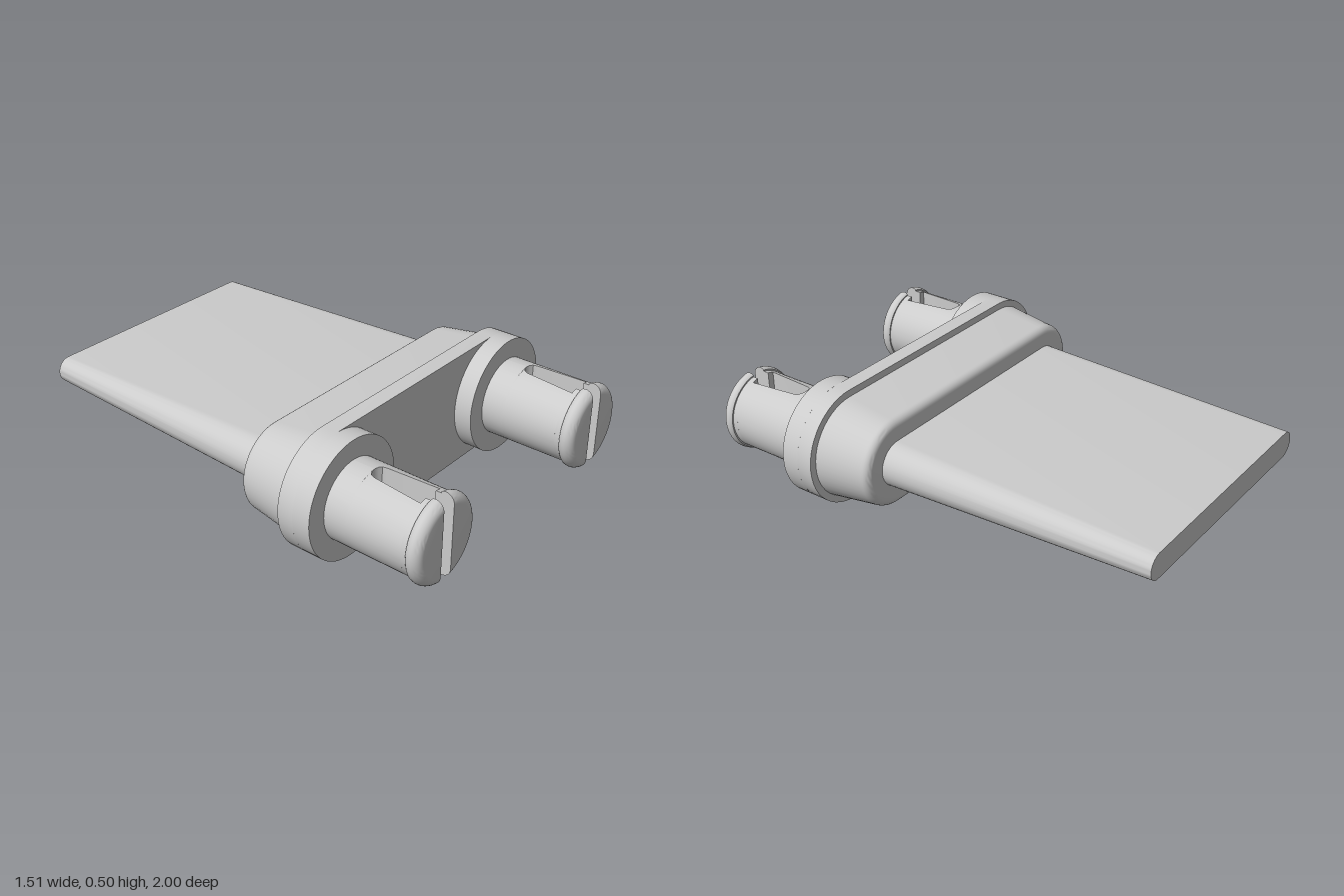
import * as THREE from 'three';
import { toCreasedNormals } from 'three/addons/utils/BufferGeometryUtils.js';

const MID_Y = 0.25;   // height of the centre line
const SPAN = 0.506;   // distance of the pins and end arcs from the middle

// Skin a series of convex cross-sections (counter-clockwise, z increasing) and cap both ends.
function loft(sections) {
  const n = sections[0].points.length, last = sections.length - 1;
  const pos = [], index = [];
  for (const { z, points } of sections) for (const [x, y] of points) pos.push(x, y, z);
  for (let i = 0; i < last; i++) {
    for (let j = 0; j < n; j++) {
      const a = i * n + j, b = i * n + (j + 1) % n;
      index.push(a, b, b + n, a, b + n, a + n);
    }
  }
  for (let j = 1; j < n - 1; j++) {
    index.push(0, j + 1, j);
    index.push(last * n, last * n + j, last * n + j + 1);
  }
  const geo = new THREE.BufferGeometry();
  geo.setAttribute('position', new THREE.Float32BufferAttribute(pos, 3));
  geo.setIndex(index);
  return toCreasedNormals(geo, 0.55);
}

// Points on an arc about (cx, 0).
function arc(cx, r, from, to, steps) {
  return Array.from({ length: steps + 1 }, (_, i) => {
    const t = from + (to - from) * i / steps;
    return [cx + r * Math.cos(t), r * Math.sin(t)];
  });
}

// Long slot outline with semicircular ends.
const stadium = (z, r) => ({
  z,
  points: [
    ...arc(SPAN, r, -Math.PI / 2, Math.PI / 2, 24),
    ...arc(-SPAN, r, Math.PI / 2, Math.PI * 1.5, 24),
  ],
});

// Half disc cut off at x = cut.
function halfDisc(z, r, cut) {
  const a = Math.acos(cut / r);
  return { z, points: arc(0, r, -a, a, 32) };
}

export function createModel() {
  const group = new THREE.Group();
  const material = new THREE.MeshStandardMaterial({ color: 0xcccccc });
  const add = (name, geo, parent = group) => {
    const mesh = new THREE.Mesh(geo, material);
    mesh.name = name;
    parent.add(mesh);
    return mesh;
  };

  // Tapering flat blade
  add('blade', loft([stadium(-1, 0.057), stadium(0.21, 0.099)])).position.y = MID_Y;

  // Drafted collar with a rounded rear edge
  const collar = [];
  for (let i = 0; i <= 6; i++) {
    const t = i / 6 * Math.PI / 2;
    collar.push(stadium(0.222 - 0.032 * Math.cos(t), 0.159 + 0.032 * Math.sin(t)));
  }
  collar.push(stadium(0.43, 0.22));
  add('collar', loft(collar)).position.y = MID_Y;

  // Flange plate
  add('flange', loft([stadium(0.43, 0.25), stadium(0.5, 0.25)])).position.y = MID_Y;

  // One prong of a split pin: shaft, slot with rounded root, and snap head
  const R = 0.167;
  const prong = [
    [0.56, R, 0], [0.675, R, 0], [0.677, R, 0.018], [0.685, R, 0.032], [0.7, R, 0.039],
    [0.92, R, 0.058], [0.92, R, 0.03], [0.945, R, 0.03], [0.945, 0.173, 0.03], [0.951, 0.178, 0.03],
  ];
  for (let i = 0; i <= 8; i++) {
    const t = i / 8 * Math.PI / 2;
    prong.push([0.962 + 0.038 * Math.sin(t), 0.142 + 0.038 * Math.cos(t), 0.03]);
  }
  const prongGeo = loft(prong.map(p => halfDisc(...p)));
  const bossGeo = new THREE.CylinderGeometry(0.25, 0.25, 0.078, 64).rotateX(Math.PI / 2);

  // Round boss and split pin at each end
  for (const [side, sign] of [['left', 1], ['right', -1]]) {
    const pin = new THREE.Group();
    pin.name = side + 'Pin';
    pin.position.set(sign * SPAN, MID_Y, 0);
    add(side + 'Boss', bossGeo, pin).position.z = 0.539;
    add(side + 'ProngA', prongGeo, pin);
    add(side + 'ProngB', prongGeo, pin).rotation.z = Math.PI;
    group.add(pin);
  }
  return group;
}
